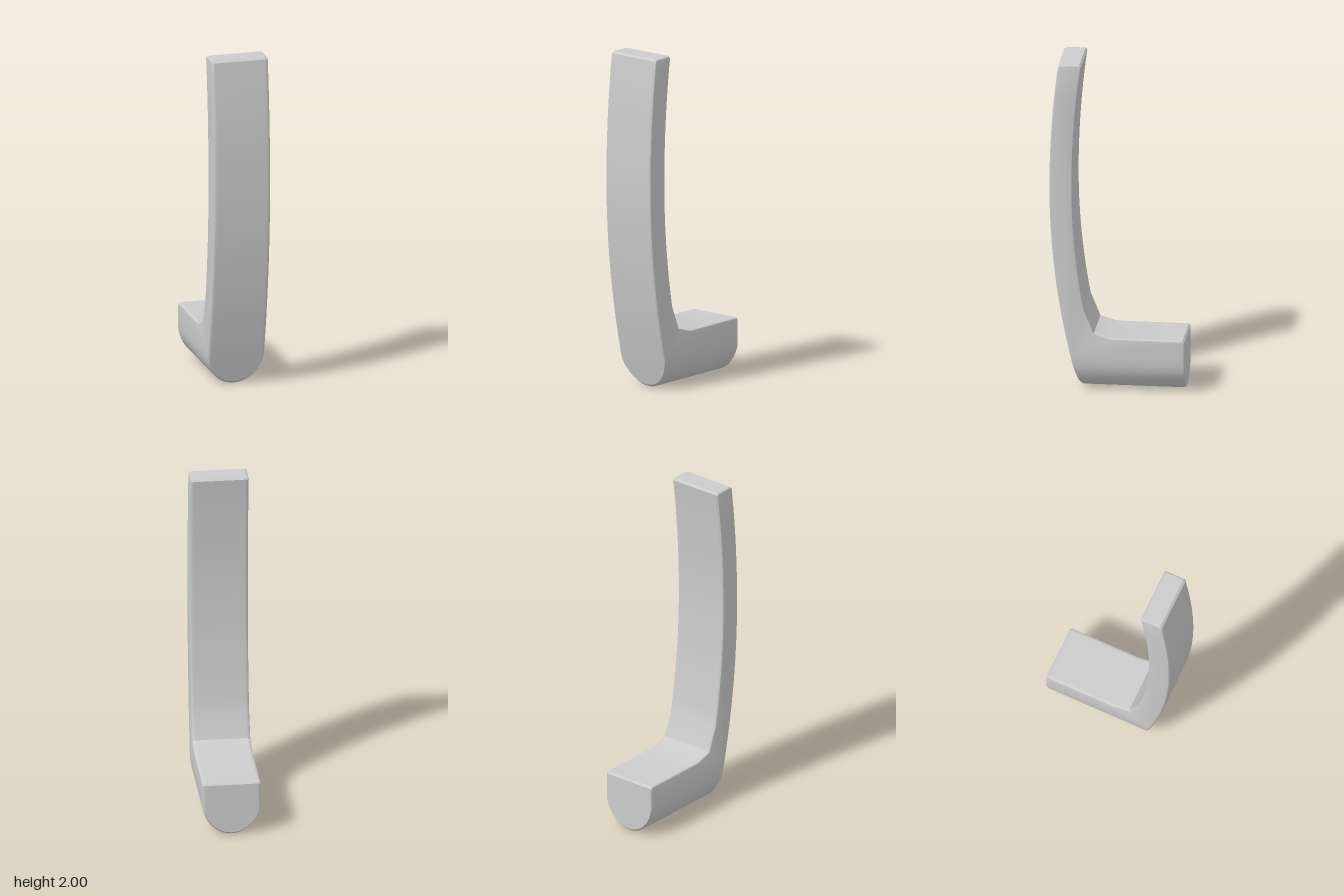
import * as THREE from 'three';
import { toCreasedNormals } from 'three/addons/utils/BufferGeometryUtils.js';

const HALF_W = 0.17, ROUND_H = 0.2, BEVEL = 0.012;
const BACK = -0.395, STUB_TOP = 0.33, TOP = 2;

// z of the bowed front and back faces of the grip at height y
const frontZ = y => 0.395 - (y < 1.25 ? 0.115 : 0.092) * (y - 1.25) ** 2;
const backZ = y => 0.26 - (y < 1.25 ? 0.125 : 0.094) * (y - 1.25) ** 2;

// Side outline (z, y), cut off below at height b
function outline(b) {
  const c = BEVEL, pts = [];
  const add = (z, y) => pts.push(new THREE.Vector2(z, y));
  add(BACK + c, b);
  add(frontZ(b) - c, b);
  const n = 18, y0 = b + c, y1 = TOP - c;
  for (let i = 0; i <= n; i++) {
    const y = y0 + (y1 - y0) * i / n;
    add(frontZ(y), y);
  }
  add(frontZ(TOP) - c, TOP);
  add(backZ(TOP) + c, TOP);
  for (let i = 0; i <= n; i++) {
    const y = y1 + (0.5 - y1) * i / n;
    add(backZ(y), y);
  }
  add(0.133, 0.36);
  add(0.035, STUB_TOP);
  add(BACK + c, STUB_TOP);
  add(BACK, STUB_TOP - c);
  add(BACK, b + c);
  return pts;
}

// Pull an outline inwards by d
function inset(pts, d) {
  const n = pts.length;
  return pts.map((p, i) => {
    const t = pts[(i + 1) % n].clone().sub(p).normalize()
      .add(p.clone().sub(pts[(i + n - 1) % n]).normalize()).normalize();
    return new THREE.Vector2(p.x - t.y * d, p.y + t.x * d);
  });
}

// Loft the outline across the width, lifting its lower edge into a round underside
function handleGeometry() {
  const steps = 20, pos = [], index = [];
  let loop, n;
  for (let j = 0; j <= steps; j++) {
    const a = (j / steps - 0.5) * Math.PI;
    const x = HALF_W * Math.sin(a);
    const k = Math.max(0, BEVEL - (HALF_W - Math.abs(x)));
    const d = BEVEL - Math.sqrt(Math.max(0, BEVEL * BEVEL - k * k));
    loop = inset(outline(ROUND_H * (1 - Math.cos(a))), d);
    n = loop.length;
    for (const p of loop) pos.push(x, p.y, p.x);
  }
  for (let j = 0; j < steps; j++) {
    for (let i = 0; i < n; i++) {
      const a = j * n + i, b = j * n + (i + 1) % n;
      index.push(a, a + n, b, b, a + n, b + n);
    }
  }
  // flat side faces
  const last = steps * n;
  for (const [a, b, c] of THREE.ShapeUtils.triangulateShape(loop, [])) {
    index.push(a, b, c, last + a, last + c, last + b);
  }
  const geo = new THREE.BufferGeometry();
  geo.setAttribute('position', new THREE.Float32BufferAttribute(pos, 3));
  geo.setIndex(index);
  return toCreasedNormals(geo, 0.6);
}

export function createModel() {
  const group = new THREE.Group();
  group.name = 'handle';
  // curved grip and mounting stub in one piece
  const mesh = new THREE.Mesh(handleGeometry(), new THREE.MeshStandardMaterial({ color: 0xcccccc }));
  mesh.name = 'gripAndStub';
  group.add(mesh);
  return group;
}
